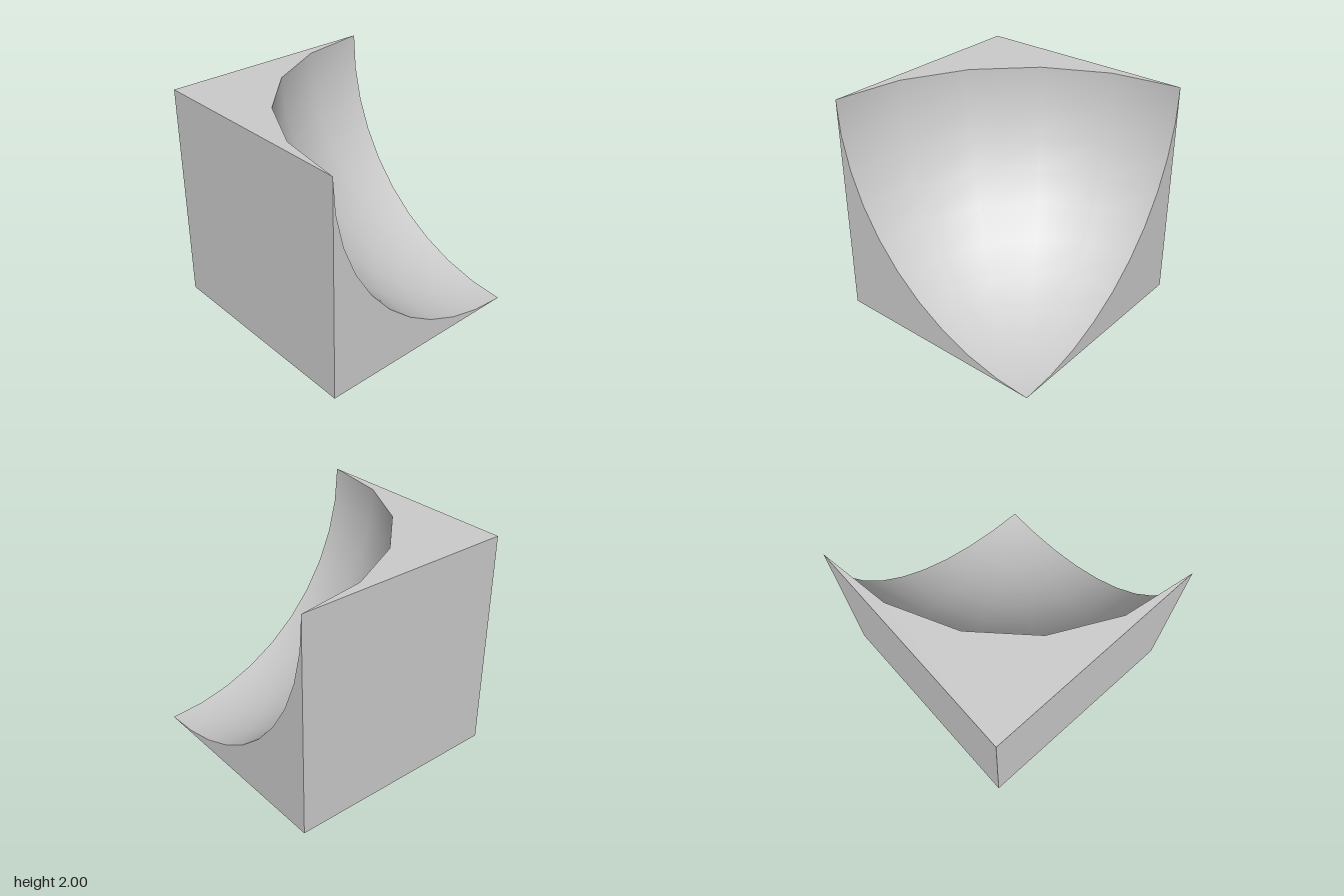
import * as THREE from 'three';

const S = 2; // cube edge, also the radius of the spherical hollow

// Square corner panel with a faceted concave quarter arc cut away
function arcPanel(segments) {
  const points = [new THREE.Vector2(-1, -1)];
  for (let i = 0; i <= segments; i++) {
    const a = (i / segments) * Math.PI / 2;
    points.push(new THREE.Vector2(1 - S * Math.sin(a), 1 - S * Math.cos(a)));
  }
  return new THREE.ShapeGeometry(new THREE.Shape(points));
}

// One octant of a sphere, turned inside out
function hollowSurface() {
  const g = new THREE.SphereGeometry(S, 5, 10, 0, Math.PI / 2, Math.PI / 2, Math.PI / 2);
  g.setIndex(Array.from(g.index.array).reverse());
  g.attributes.normal.array.forEach((n, i, arr) => { arr[i] = -n; });
  return g;
}

export function createModel() {
  const model = new THREE.Group();
  model.name = 'hollowedCube';
  const material = new THREE.MeshStandardMaterial({ color: 0xcccccc });
  const add = (name, geometry, x, y, z) => {
    const mesh = new THREE.Mesh(geometry.translate(x, y, z), material);
    mesh.name = name;
    model.add(mesh);
  };
  const square = () => new THREE.PlaneGeometry(S, S);

  // Three full square sides
  add('frontFace', square(), 0, 1, 1);
  add('rightFace', square().rotateY(-Math.PI / 2), -1, 1, 0);
  add('bottomFace', square().rotateX(Math.PI / 2), 0, 0, 0);

  // Three sides cut by the hollow
  add('leftFace', arcPanel(10).rotateY(Math.PI / 2), 1, 1, 0);
  add('backFace', arcPanel(10).rotateY(Math.PI).rotateZ(-Math.PI / 2), 0, 1, -1);
  add('topFace', arcPanel(5).rotateX(-Math.PI / 2), 0, 2, 0);

  // Smooth spherical hollow centred on the upper back corner
  add('sphericalHollow', hollowSurface(), 1, 2, -1);

  return model;
}
